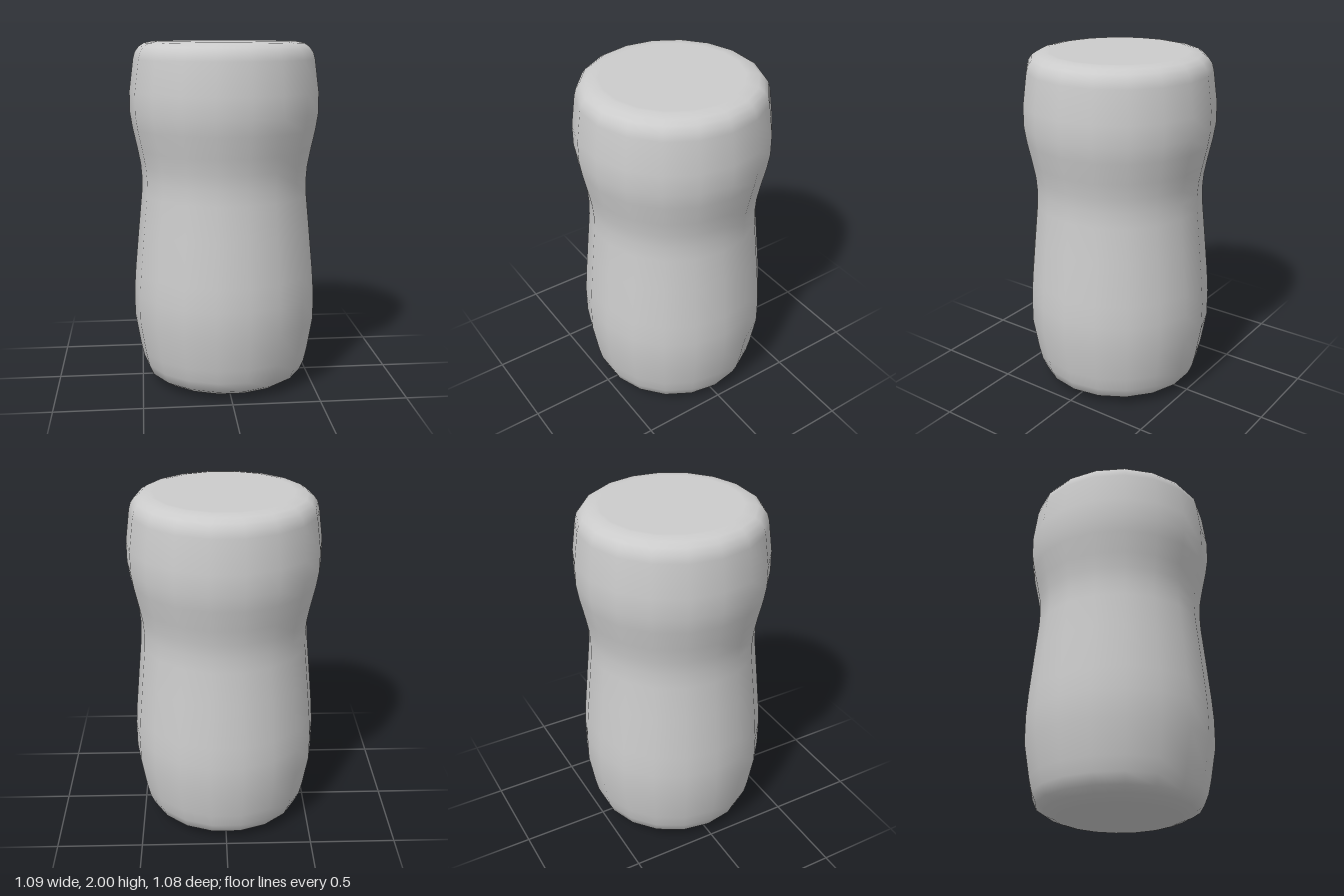
import * as THREE from 'three';

// Waisted body profile as [radius, height], bottom to top
const PROFILE = [
  [0, 0], [0.34, 0], [0.36, 0.005], [0.42, 0.03], [0.465, 0.06], [0.49, 0.12], [0.508, 0.2],
  [0.54, 0.39], [0.54, 0.55], [0.531, 0.68], [0.507, 0.93], [0.487, 1.13], [0.484, 1.22],
  [0.49, 1.3], [0.507, 1.39], [0.533, 1.51], [0.547, 1.6], [0.547, 1.72],
  [0.523, 1.9], [0.512, 1.94], [0.49, 1.97], [0.46, 1.99], [0.41, 2], [0.39, 2], [0, 2],
];
const SIDES = 18;

export function createModel() {
  const group = new THREE.Group();
  group.name = 'shaker';

  // Smooth 18-sided body with closed, flat ends; a corner lies on +x
  const points = PROFILE.map(([r, y]) => new THREE.Vector2(r, y));
  const body = new THREE.Mesh(
    new THREE.LatheGeometry(points, SIDES, Math.PI / 2),
    new THREE.MeshStandardMaterial({ color: 0xcccccc }),
  );
  body.name = 'body';
  group.add(body);
  return group;
}
